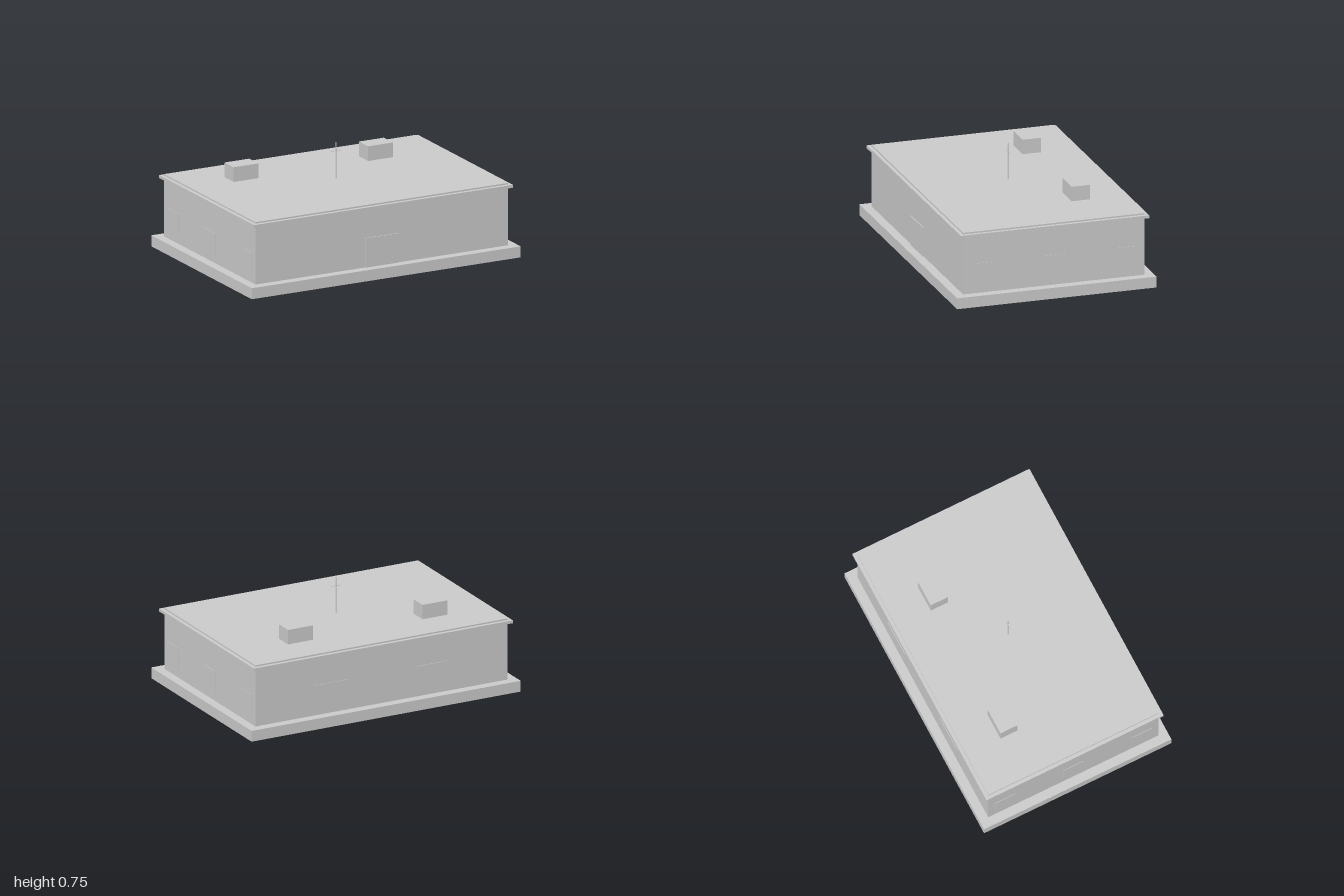
import * as THREE from 'three';

const material = new THREE.MeshStandardMaterial({ color: 0xcccccc });

// Box given by its width, height, depth and the centre of its underside.
function box(name, w, h, d, x, y, z) {
  const mesh = new THREE.Mesh(new THREE.BoxGeometry(w, h, d), material);
  mesh.name = name;
  mesh.position.set(x, y + h / 2, z);
  return mesh;
}

export function createModel() {
  const group = new THREE.Group();
  group.name = 'building';
  const wallX = 0.9375, wallZ = 0.625;

  // Plinth, walls with flat roof, cornice
  group.add(
    box('plinth', 2, 0.075, 1.375, 0, 0, 0),
    box('walls', wallX * 2, 0.425, wallZ * 2, 0, 0.075, 0),
    box('cornice', 1.925, 0.02, 1.3, 0, 0.47, 0),
  );

  // Front entrance with centre seam, and the panel under the cornice
  group.add(
    box('frontDoor', 0.25, 0.2, 0.0125, 0, 0.075, wallZ),
    box('doorSeam', 0.004, 0.19, 0.016, 0, 0.075, wallZ),
    box('entrancePanel', 0.25, 0.04, 0.01, 0, 0.44, wallZ),
  );

  for (const side of [-1, 1]) {
    // Three windows on each side wall
    for (const z of [-0.5, 0, 0.5]) {
      group.add(box('sideWindow', 0.006, 0.15, 0.15, side * wallX, 0.13, z));
    }
    // Back shutters
    group.add(box('backShutter', 0.25, 0.185, 0.007, side * 0.375, 0.1, -wallZ));
  }

  // Rooftop units
  for (const x of [-0.5325, 0.4675]) {
    group.add(box('roofUnit', 0.185, 0.1, 0.125, x, 0.5, -0.3125));
  }

  // Mast with crossbar
  const mast = new THREE.Mesh(new THREE.CylinderGeometry(0.0025, 0.0025, 0.25, 8), material);
  mast.name = 'mast';
  mast.position.y = 0.625;
  group.add(mast, box('mastCrossbar', 0.075, 0.003, 0.003, 0, 0.6885, 0));

  return group;
}
